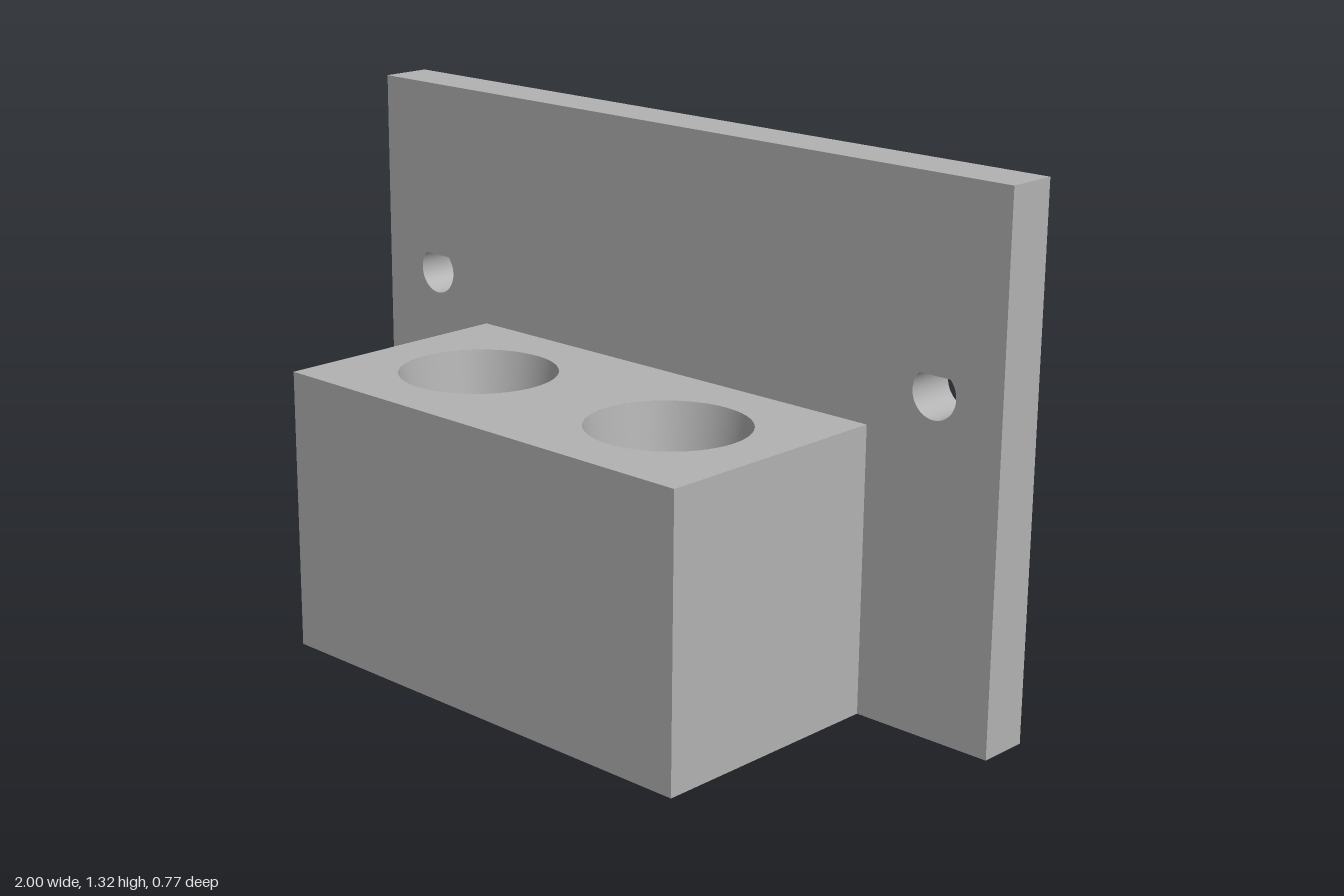
import * as THREE from 'three';
import { mergeGeometries } from 'three/addons/utils/BufferGeometryUtils.js';

const W = 0.63, H = 0.71, BACK = -0.255, FRONT = 0.385; // holder block
const SOCKET_X = 0.315, SOCKET_Z = 0.065;
const R_TOP = 0.195, R_LEDGE = 0.107, R_HOLE = 0.072, LEDGE_Y = 0.1;

function rect(x0, y0, x1, y1) {
  return new THREE.Shape([[x0, y0], [x1, y0], [x1, y1], [x0, y1]].map(([x, y]) => new THREE.Vector2(x, y)));
}

// Teardrop hole: a circle with a 45 degree point on top
function teardrop(x, y, r) {
  const path = new THREE.Path();
  path.moveTo(x, y + r * Math.SQRT2);
  path.absarc(x, y, r, Math.PI * 0.75, Math.PI * 2.25, false);
  path.closePath();
  return path;
}

// Flat horizontal face of the block with two round openings
function holedFace(r) {
  const shape = rect(-W, -FRONT, W, -BACK);
  for (const s of [-1, 1]) {
    const hole = new THREE.Path();
    hole.absarc(s * SOCKET_X, -SOCKET_Z, r, 0, Math.PI * 2, true);
    shape.holes.push(hole);
  }
  return new THREE.ShapeGeometry(shape, 64);
}

export function createModel() {
  const model = new THREE.Group();
  model.name = 'wallHolder';
  const grey = new THREE.MeshStandardMaterial({ color: 0xb2b2b2 });
  grey.name = 'grey plastic';

  const add = (name, geometry, parent = model) => {
    const mesh = new THREE.Mesh(geometry, grey);
    mesh.name = name;
    parent.add(mesh);
    return mesh;
  };

  // Back plate with two mounting holes
  const plate = rect(-1, 0, 1, 1.315);
  for (const s of [-1, 1]) plate.holes.push(teardrop(s * 0.815, 0.82, 0.06));
  add('backPlate', new THREE.ExtrudeGeometry(plate, { depth: 0.13, bevelEnabled: false, curveSegments: 40 })
    .translate(0, 0, -0.385));

  // Block skin: top, underside, front and the two sides
  const depth = FRONT - BACK, midZ = (FRONT + BACK) / 2;
  const faces = [
    holedFace(R_TOP).rotateX(-Math.PI / 2).translate(0, H, 0),
    holedFace(R_HOLE).scale(1, -1, 1).rotateX(Math.PI / 2),
    new THREE.PlaneGeometry(2 * W, H).translate(0, H / 2, FRONT),
  ];
  // The mirrored underside needs its corner order reversed
  const under = faces[1];
  under.index.array.reverse();
  const n = under.attributes.normal;
  for (let i = 0; i < n.count; i++) n.setXYZ(i, 0, -1, 0);
  for (const s of [-1, 1]) {
    faces.push(new THREE.PlaneGeometry(depth, H).rotateY(s * Math.PI / 2).translate(s * W, H / 2, midZ));
  }
  add('holderBlock', mergeGeometries(faces));

  // Tapered sockets, each with a ledge and a through hole
  const profile = [[R_TOP, H], [R_LEDGE, LEDGE_Y], [R_HOLE, LEDGE_Y], [R_HOLE, 0]]
    .map(([x, y]) => new THREE.Vector2(x, y));
  for (const s of [-1, 1]) {
    const socket = new THREE.Group();
    socket.name = s > 0 ? 'leftSocket' : 'rightSocket';
    socket.position.set(s * SOCKET_X, 0, SOCKET_Z);
    ['taperedWall', 'ledge', 'throughHole'].forEach((name, i) =>
      add(name, new THREE.LatheGeometry([profile[i], profile[i + 1]], 64), socket));
    model.add(socket);
  }
  return model;
}
